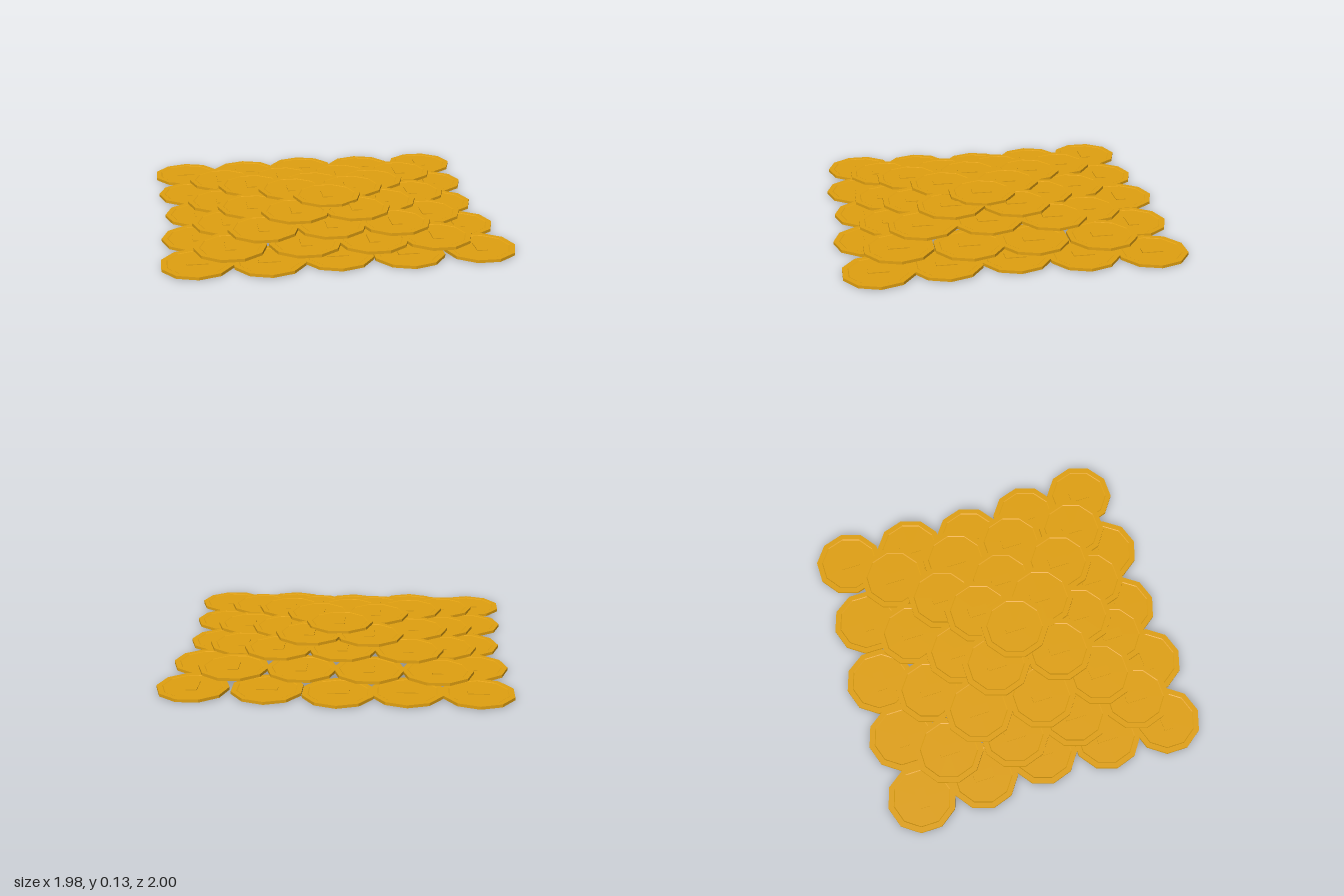
import * as THREE from 'three';

const R = 0.205;

// Layers of the pile: height of the coin centres and [x, z, lengthwise?] per coin
const LAYERS = [
  { y: 0.0105, coins: [
    [-0.8, -0.765, 1], [-0.41, -0.77, 1], [-0.03, -0.8, 1], [0.365, -0.77, 1], [0.78, -0.77],
    [-0.78, -0.38], [0.755, -0.38],
    [-0.75, 0], [0.72, 0],
    [-0.78, 0.39], [0.75, 0.39],
    [-0.8, 0.765, 1], [-0.41, 0.79, 1], [-0.03, 0.76, 1], [0.365, 0.785, 1], [0.78, 0.765],
  ] },
  { y: 0.043, coins: [
    [-0.58, -0.53], [-0.19, -0.53], [0.195, -0.53], [0.585, -0.53],
    [-0.61, -0.13], [0.58, -0.13],
    [-0.6, 0.25], [0.59, 0.24],
    [-0.61, 0.635], [-0.19, 0.635], [0.195, 0.635], [0.56, 0.635],
  ] },
  { y: 0.08, coins: [
    [-0.41, -0.29], [-0.025, -0.29], [0.35, -0.29],
    [-0.44, 0.095], [0.35, 0.095],
    [-0.41, 0.475], [-0.02, 0.475], [0.355, 0.475],
  ] },
  { y: 0.108, coins: [[-0.175, -0.105], [0.185, -0.105], [-0.2, 0.285], [0.155, 0.285]] },
  { y: 0.122, coins: [[0.015, 0.075]] },
];

export function createModel() {
  const group = new THREE.Group();
  group.name = 'coinPile';
  const gold = new THREE.MeshStandardMaterial({ color: 0xe0a010, flatShading: true });

  // Ten-sided disc with a raised rim on both faces
  const half = [[R, 0.0085], [R - 0.032, 0.0085], [R - 0.037, 0.006], [0, 0.006]];
  const profile = [
    ...half.map(([r, y]) => new THREE.Vector2(r, -y)).reverse(),
    ...half.map(([r, y]) => new THREE.Vector2(r, y)),
  ];
  const discGeometry = new THREE.LatheGeometry(profile, 10);
  // Raised rectangle through the middle, showing on both faces
  const barGeometry = new THREE.BoxGeometry(0.12, 0.021, 0.06);

  LAYERS.forEach(({ y, coins }, level) => {
    const layer = new THREE.Group();
    layer.name = `coinLayer${level + 1}`;
    for (const [x, z, lengthwise] of coins) {
      const coin = new THREE.Group();
      coin.name = 'coin';
      const disc = new THREE.Mesh(discGeometry, gold);
      disc.name = 'coinDisc';
      const bar = new THREE.Mesh(barGeometry, gold);
      bar.name = 'coinBar';
      coin.add(disc, bar);
      coin.position.set(x, y, z);
      coin.rotation.y = lengthwise ? 0 : Math.PI / 2;
      layer.add(coin);
    }
    group.add(layer);
  });
  return group;
}
